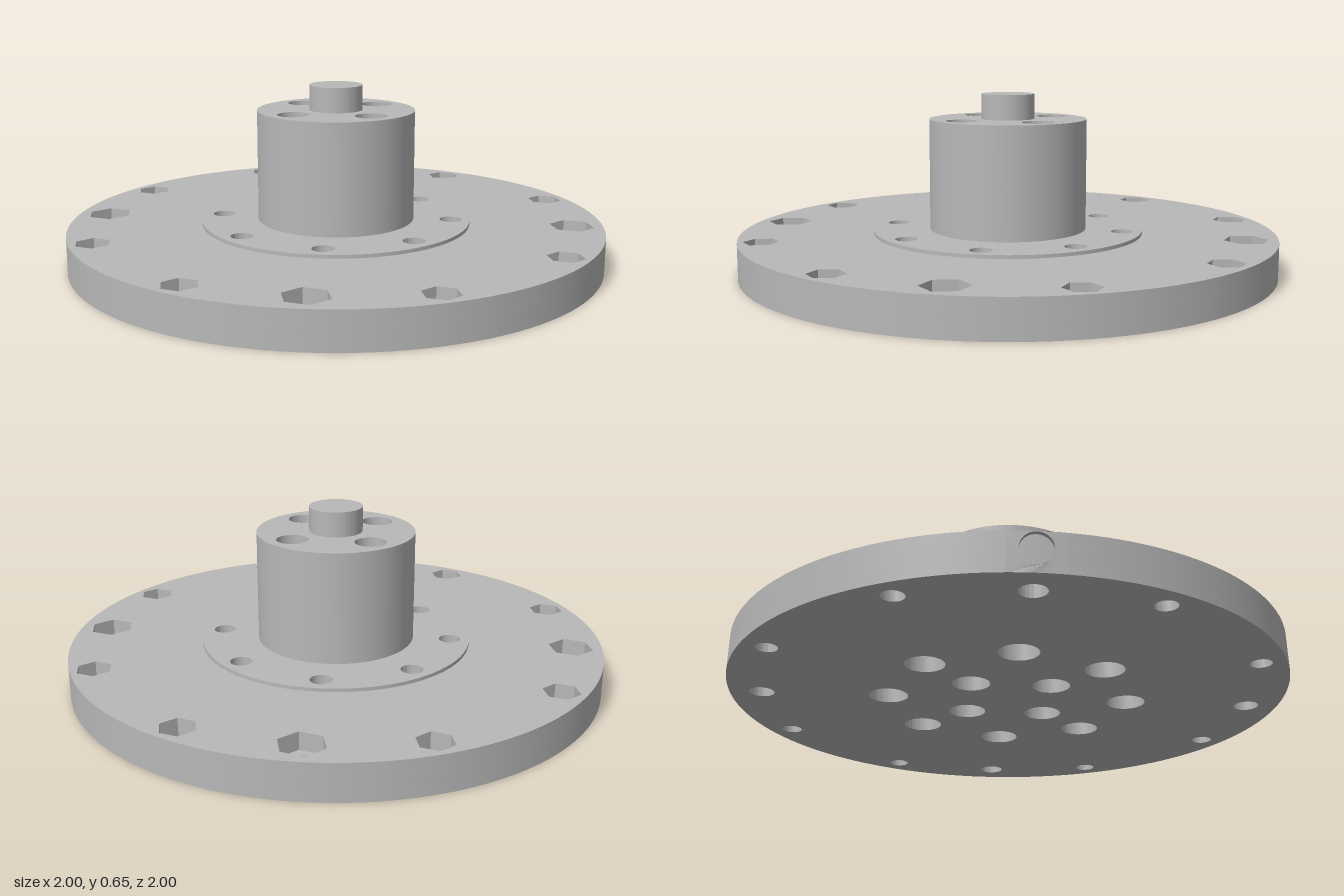
import * as THREE from 'three';
import { toCreasedNormals } from 'three/addons/utils/BufferGeometryUtils.js';

const PLATE_TOP = 0.134, POCKET_FLOOR = 0.07;
const PORT_ANGLE = Math.PI * 1.25, PORT_HALF = 0.09, PORT_DEPTH = 0.016;

// Evenly spaced points on a bolt circle
const ring = (count, radius, start = 0) => Array.from({ length: count }, (_, i) => {
  const a = start + (i / count) * Math.PI * 2;
  return [radius * Math.cos(a), radius * Math.sin(a)];
});

const circle = (r) => ([x, y]) => new THREE.Path().absarc(x, y, r, 0, Math.PI * 2, true);

// Hexagon with its points toward the front and back
const hexagon = (r) => ([x, y]) => new THREE.Path(
  ring(6, r, Math.PI / 2).map(([u, v]) => new THREE.Vector2(x + u, y + v)));

const disc = (r) => new THREE.Shape().absarc(0, 0, r, 0, Math.PI * 2, false);

// Plate outline, set back where the side port panel sits
const plateOutline = () => {
  const a = PORT_ANGLE - PORT_HALF, b = PORT_ANGLE + PORT_HALF;
  return new THREE.Shape()
    .absarc(0, 0, 1, b, a + Math.PI * 2, false)
    .absarc(0, 0, 1 - PORT_DEPTH, a, b, false)
    .closePath();
};

export function createModel() {
  const model = new THREE.Group();
  model.name = 'hubFlange';
  const steel = new THREE.MeshStandardMaterial({ color: 0xb8b8b8 });
  steel.name = 'grey steel';

  const add = (name, geometry) => {
    const mesh = new THREE.Mesh(toCreasedNormals(geometry, 0.5), steel);
    mesh.name = name;
    model.add(mesh);
  };

  // Horizontal slab from y0 to y1 with holes through it
  const slab = (name, shape, holes, y0, y1) => {
    shape.holes = holes;
    const g = new THREE.ExtrudeGeometry(shape, { depth: y1 - y0, bevelEnabled: false, curveSegments: 80 });
    add(name, g.rotateX(-Math.PI / 2).translate(0, y0, 0));
  };

  // Hole positions
  const hubHoles = ring(4, 0.2);
  const flangeHoles = ring(8, 0.433);
  const largeNuts = ring(4, 0.885, Math.PI / 4);
  const smallNuts = [];
  for (const sx of [-1, 1]) for (const sy of [-1, 1]) {
    smallNuts.push([sx * 0.293, sy * 0.866], [sx * 0.866, sy * 0.293]);
  }

  // Base plate: wide bores below, hexagonal nut pockets above
  slab('lowerPlate', plateOutline(), [
    ...hubHoles.map(circle(0.067)), ...flangeHoles.map(circle(0.07)),
    ...largeNuts.map(circle(0.045)), ...smallNuts.map(circle(0.038)),
  ], 0, POCKET_FLOOR);
  slab('upperPlate', plateOutline(), [
    ...hubHoles.map(circle(0.058)), ...flangeHoles.map(circle(0.04)),
    ...largeNuts.map(hexagon(0.083)), ...smallNuts.map(hexagon(0.066)),
  ], POCKET_FLOOR, PLATE_TOP);

  // Raised flange, hub and centre pin
  slab('flange', disc(0.505), [
    ...hubHoles.map(circle(0.058)), ...flangeHoles.map(circle(0.04)),
  ], PLATE_TOP, 0.147);
  slab('hub', disc(0.294), hubHoles.map(circle(0.058)), 0.147, 0.56);
  slab('centrePin', disc(0.099), [], 0.56, 0.653);

  // Rim panel with the shallow round port, bent to the rim
  const edge = Array.from({ length: 13 }, (_, i) => PORT_HALF * (i / 6 - 1));
  const panel = new THREE.Shape([
    ...edge.map((u) => new THREE.Vector2(u, 0)),
    ...edge.map((u) => new THREE.Vector2(-u, PLATE_TOP)),
  ]);
  panel.holes = [circle(0.0525)([0, 0.08])];
  const port = new THREE.ExtrudeGeometry(panel, { depth: PORT_DEPTH, bevelEnabled: false, curveSegments: 40 });
  const p = port.attributes.position;
  for (let i = 0; i < p.count; i++) {
    const a = PORT_ANGLE + p.getX(i), r = 1 - PORT_DEPTH + p.getZ(i);
    p.setXYZ(i, r * Math.cos(a), p.getY(i), -r * Math.sin(a));
  }
  add('rimPort', port);

  return model;
}
